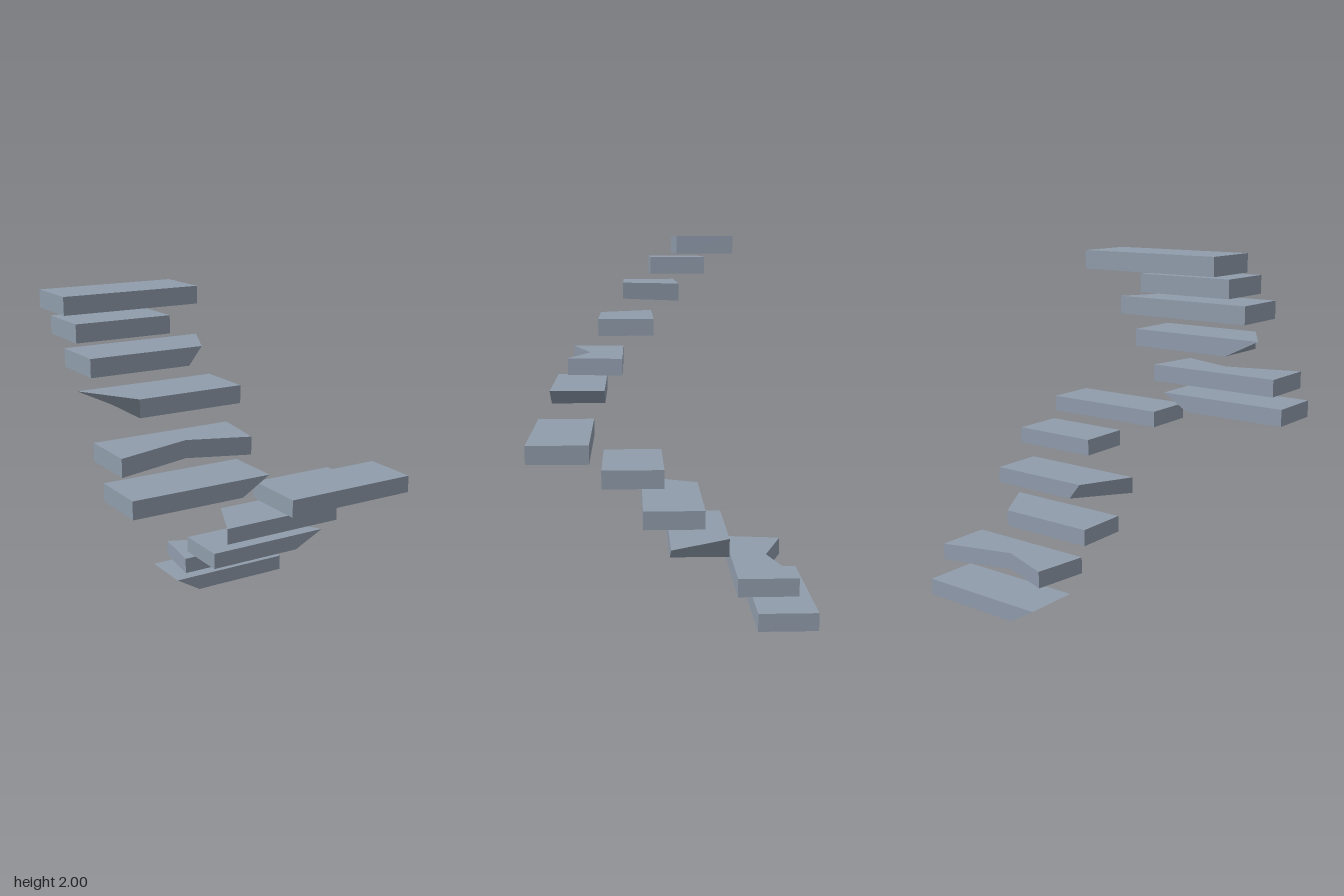
import * as THREE from 'three';

const HEIGHT = 0.096;
const W = 0.392; // half width of a tread
const D = 0.157; // half depth of a tread

// Solid between a top and a bottom outline of [x, z] points. Outlines run along the
// front from left to right, then end with the back-right and back-left corners.
function slabGeometry(top, bottom = top) {
  const positions = [];
  const normals = [];
  const triangle = (normal, ...corners) => corners.forEach((p) => {
    positions.push(...p);
    normals.push(...normal);
  });
  const upper = top.map(([x, z]) => [x, HEIGHT, z]);
  const lower = bottom.map(([x, z]) => [x, 0, z]);
  const cap = (outline) =>
    THREE.ShapeUtils.triangulateShape(outline.map(([x, z]) => new THREE.Vector2(x, -z)), []);

  cap(top).forEach(([a, b, c]) => triangle([0, 1, 0], upper[a], upper[b], upper[c]));
  cap(bottom).forEach(([a, b, c]) => triangle([0, -1, 0], lower[a], lower[c], lower[b]));

  // Each side has one shared normal, so notches and twisted ends shade evenly
  const count = top.length;
  const between = (from, to) => new THREE.Vector3(...to).sub(new THREE.Vector3(...from));
  const side = (first, last) => {
    const end = last % count;
    const normal = between(lower[first], upper[end])
      .cross(between(lower[end], upper[first])).normalize().toArray();
    for (let i = first; i < last; i++) {
      const j = (i + 1) % count;
      triangle(normal, lower[i], lower[j], upper[j]);
      triangle(normal, lower[i], upper[j], upper[i]);
    }
  };
  side(0, count - 3);
  for (let i = count - 3; i < count; i++) side(i, i + 1);

  const geometry = new THREE.BufferGeometry();
  geometry.setAttribute('position', new THREE.Float32BufferAttribute(positions, 3));
  geometry.setAttribute('normal', new THREE.Float32BufferAttribute(normals, 3));
  return geometry;
}

// Four-cornered outline: x of the front-left, front-right, back-right and back-left corners
const outline = (fl = -W, fr = W, br = W, bl = -W) => [[fl, D], [fr, D], [br, -D], [bl, -D]];

export function createModel() {
  const model = new THREE.Group();
  model.name = 'splitStaircase';
  const material = new THREE.MeshStandardMaterial({ color: 0x909cac });

  // The six tread shapes, from the top of a flight to its foot
  const treads = [
    ['plainTread', slabGeometry(outline())],
    ['shortTread', slabGeometry(outline(-W, 0.143, 0.143))],
    ['cutCornerTread', slabGeometry(outline(-W, 0.242), outline(-W, 0.167))],
    ['undercutCornerTread', slabGeometry(outline(-0.198), outline(-0.198, W, W, -0.198))],
    ['notchedTread', slabGeometry([[-W, D], [0.027, 0.038], [0.347, D], [W, -D], [-W, -D]])],
    ['slantedEndTread', slabGeometry(outline(), outline(-W, 0.231, 0.231))],
  ];

  // Each flight uses every shape once; the lower one is turned half round. Places are [x, y, z]
  const flights = [
    {
      name: 'upperFlight', turn: 0,
      places: [
        [-0.448, 1.904, -0.2], [-0.448, 1.786, -0.058], [-0.448, 1.64, 0.102],
        [-0.448, 1.442, 0.243], [-0.448, 1.214, 0.421], [-0.448, 1.031, 0.525],
      ],
    },
    {
      name: 'lowerFlight', turn: Math.PI,
      places: [
        [0.446, 0.888, 0.582], [0.411, 0.754, 0.21], [0.411, 0.543, 0.004],
        [0.411, 0.34, -0.137], [0.411, 0.186, -0.477], [0.411, 0, -0.582],
      ],
    },
  ];

  for (const { name, turn, places } of flights) {
    const flight = new THREE.Group();
    flight.name = name;
    treads.forEach(([treadName, geometry], i) => {
      const tread = new THREE.Mesh(geometry, material);
      tread.name = treadName;
      tread.position.set(...places[i]);
      tread.rotation.y = turn;
      flight.add(tread);
    });
    model.add(flight);
  }
  return model;
}
